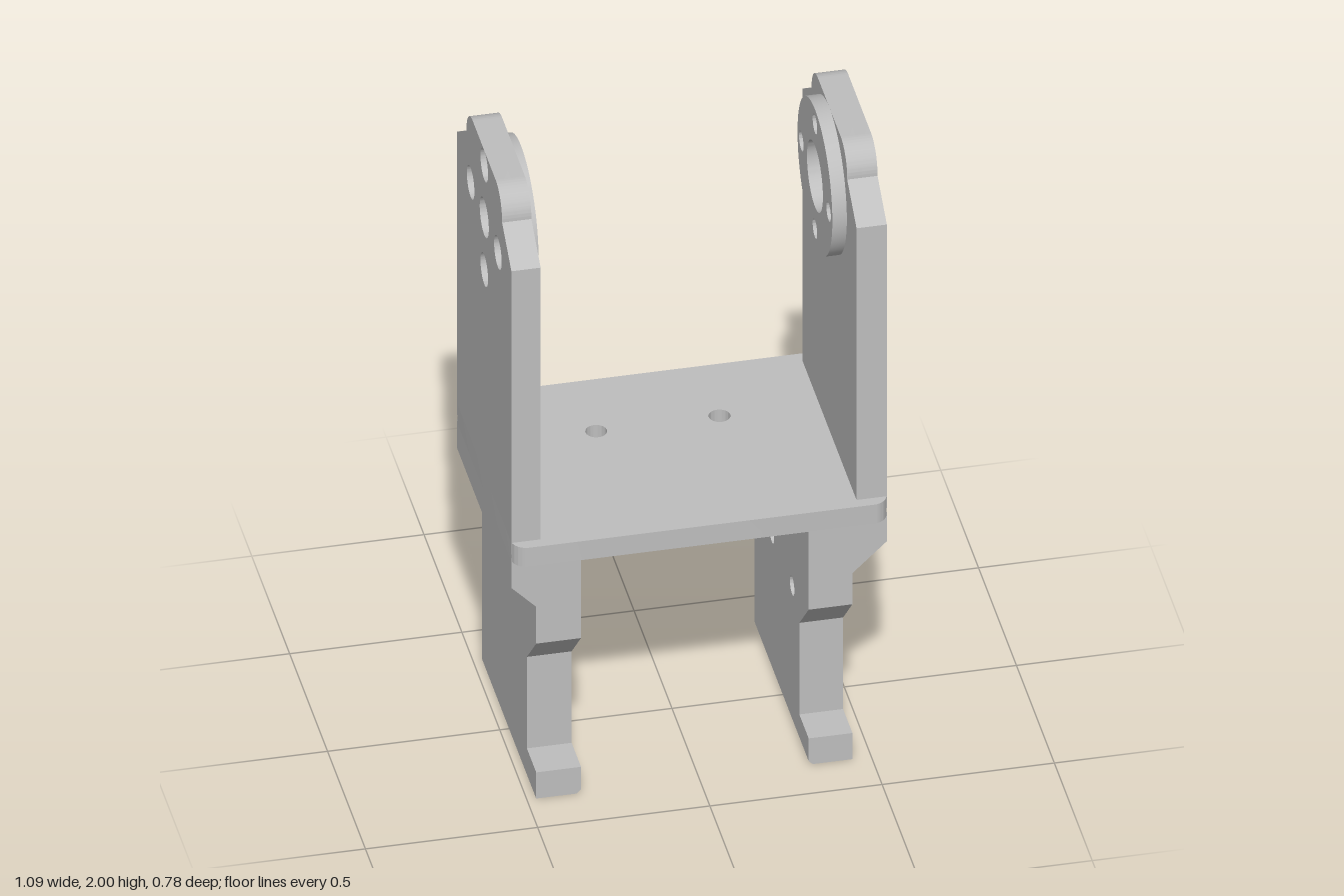
import * as THREE from 'three';
import { toCreasedNormals } from 'three/addons/utils/BufferGeometryUtils.js';

const PIVOT_Y = 1.77;

export function createModel() {
  const model = new THREE.Group();
  model.name = 'servoBracket';
  const metal = new THREE.MeshStandardMaterial({ color: 0xbebebe });
  metal.name = 'plainGrey';

  const polygon = (pts) => new THREE.Shape(pts.map(([a, b]) => new THREE.Vector2(a, b)));
  const circle = (a, b, r, type = THREE.Path) => new type().absarc(a, b, r, 0, Math.PI * 2, false);

  function extrude(shape, holes, depth) {
    shape.holes.push(...holes.map(([a, b, r]) => circle(a, b, r)));
    return new THREE.ExtrudeGeometry(shape, { depth, bevelEnabled: false, curveSegments: 32 });
  }
  function add(parent, name, geometry) {
    const mesh = new THREE.Mesh(toCreasedNormals(geometry, 0.5), metal);
    mesh.name = name;
    parent.add(mesh);
  }
  // Slab with a (z, y) outline between two x positions
  function slabX(parent, name, shape, holes, xa, xb) {
    const g = extrude(shape, holes, Math.abs(xb - xa));
    g.rotateY(-Math.PI / 2).translate(Math.max(xa, xb), 0, 0);
    add(parent, name, g);
  }
  // Prism with an (x, y) outline between two z positions
  function prismZ(parent, name, pts, za, zb) {
    add(parent, name, extrude(polygon(pts), [], zb - za).translate(0, 0, za));
  }

  // Base plate with rounded corners and two holes
  const w = 0.545, d = 0.392, r = 0.045;
  const plate = new THREE.Shape();
  plate.absarc(w - r, d - r, r, 0, Math.PI / 2);
  plate.absarc(-w + r, d - r, r, Math.PI / 2, Math.PI);
  plate.absarc(-w + r, -d + r, r, Math.PI, Math.PI * 1.5);
  plate.absarc(w - r, -d + r, r, Math.PI * 1.5, Math.PI * 2);
  plate.closePath();
  const plateGeo = extrude(plate, [[-0.19, 0.137, 0.031], [0.168, 0.137, 0.031]], 0.065);
  add(model, 'basePlate', plateGeo.rotateX(-Math.PI / 2).translate(0, 0.825, 0));

  // Upright outline: sloped shoulders and a rounded crown
  function armShape() {
    const s = polygon([[-0.358, 0.85], [0.358, 0.85], [0.358, 1.825], [0.235, 1.91]]);
    s.absarc(0.15, 1.915, 0.085, 0, Math.PI / 2);
    s.absarc(-0.15, 1.915, 0.085, Math.PI / 2, Math.PI);
    s.lineTo(-0.235, 1.91);
    s.lineTo(-0.358, 1.825);
    s.closePath();
    return s;
  }
  const pivotHoles = (centre, bolt) => [
    [0, PIVOT_Y, centre],
    ...[[0.18, 0], [-0.18, 0], [0, 0.18], [0, -0.18]].map(([z, y]) => [z, PIVOT_Y + y, bolt]),
  ];

  const sides = [
    { name: 'left', outer: 0.545, inner: 0.457, disc: 0.415, bore: 0.105, legOut: 0.445, legIn: 0.318, bend: 0.64 },
    { name: 'right', outer: -0.545, inner: -0.46, disc: -0.438, bore: 0.06, legOut: -0.473, legIn: -0.343, bend: 0.66 },
  ];
  for (const p of sides) {
    const s = Math.sign(p.outer);

    // Upright in two layers, so the centre bore can be stepped
    const arm = new THREE.Group();
    arm.name = p.name + 'Arm';
    model.add(arm);
    const step = p.outer - s * 0.045;
    slabX(arm, 'armOuterLayer', armShape(), pivotHoles(p.bore, 0.05), p.outer, step);
    slabX(arm, 'armInnerLayer', armShape(), pivotHoles(0.105, 0.05), step, p.inner);
    slabX(arm, 'pivotDisc', circle(0, PIVOT_Y, 0.23, THREE.Shape), pivotHoles(0.105, 0.03), p.inner, p.disc);

    // Leg: sloped shoulder, notched web with blind holes, foot
    const leg = new THREE.Group();
    leg.name = p.name + 'Leg';
    model.add(leg);
    const oriented = (pts) => (s > 0 ? pts : pts.reverse());
    prismZ(leg, 'legShoulder', oriented([
      [p.legIn, p.bend], [p.legOut, p.bend], [p.outer, 0.735], [p.outer, 0.835], [p.legIn, 0.835],
    ]), -0.358, 0.358);
    const web = () => polygon([
      [-0.358, 0.09], [0.235, 0.09], [0.235, 0.405], [0.358, 0.533], [0.358, p.bend], [-0.358, p.bend],
    ]);
    const mid = p.legIn + s * 0.08;
    slabX(leg, 'legWebInner', web(), [[0.14, 0.47, 0.03], [-0.127, 0.47, 0.03]], p.legIn, mid);
    slabX(leg, 'legWebOuter', web(), [], mid, p.legOut);
    prismZ(leg, 'foot', oriented([
      [p.legIn + s * 0.012, 0], [p.legOut, 0], [p.legOut, 0.09], [p.legIn, 0.09], [p.legIn, 0.012],
    ]), -0.358, 0.358);
  }
  return model;
}
